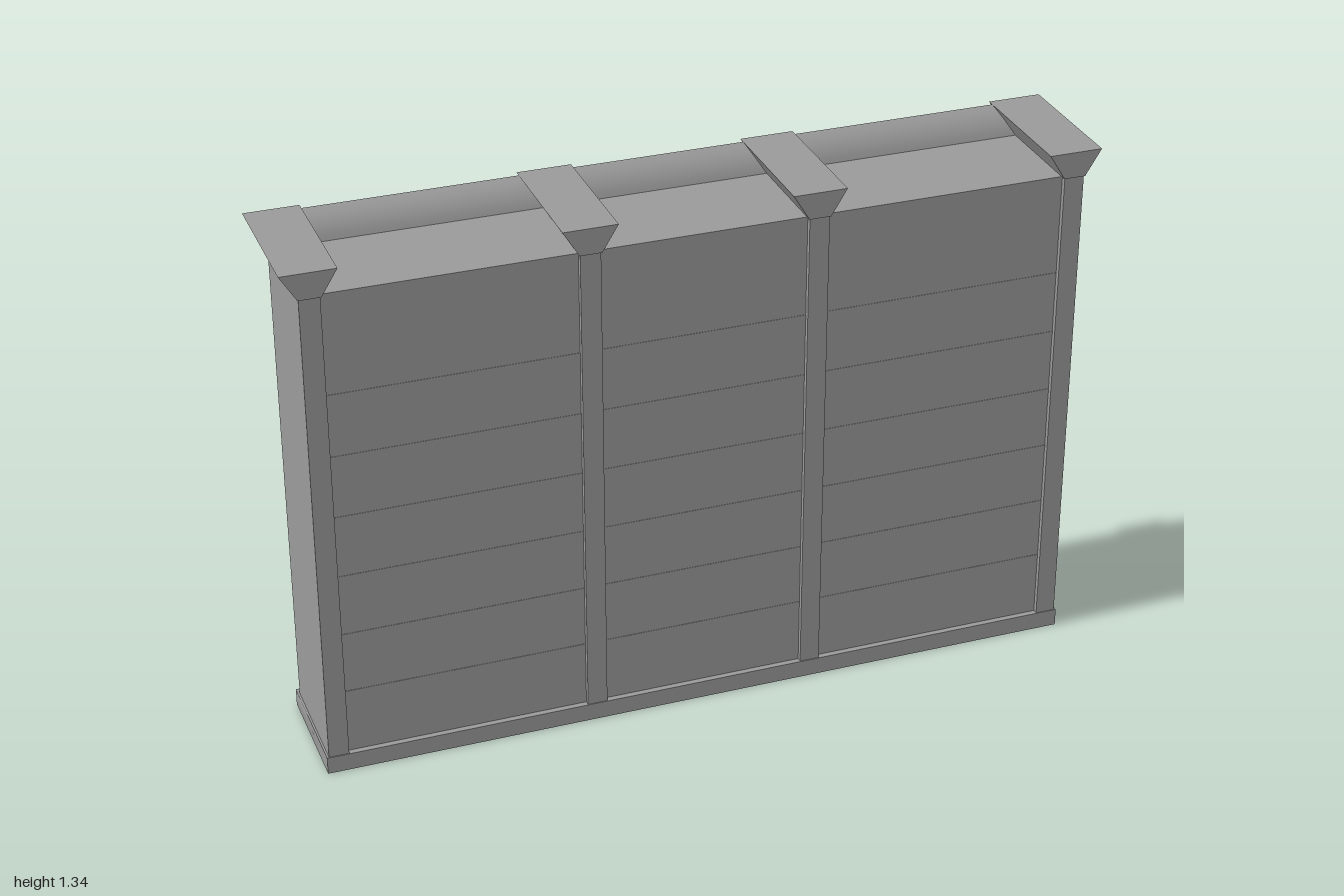
import * as THREE from 'three';

const material = new THREE.MeshStandardMaterial({ color: 0x9a9a9a, side: THREE.DoubleSide });

// Box given by its min and max on each axis
function box(name, x0, x1, y0, y1, z0, z1) {
  const mesh = new THREE.Mesh(new THREE.BoxGeometry(x1 - x0, y1 - y0, z1 - z0), material);
  mesh.name = name;
  mesh.position.set((x0 + x1) / 2, (y0 + y1) / 2, (z0 + z1) / 2);
  return mesh;
}

// Plinth: its top, ends and open side are shaded softly into each other along the -z edge
function plinth() {
  const mesh = box('base', -0.963, 0.963, 0, 0.045, -0.14, 0.172);
  const { position: p, normal: n } = mesh.geometry.attributes;
  const v = new THREE.Vector3();
  for (let i = 0; i < p.count; i++) {
    if (p.getZ(i) > 0 || n.getY(i) < -0.5) continue;
    v.set(Math.sign(p.getX(i)), p.getY(i) > 0 ? 1 : 0, -1).normalize();
    n.setXYZ(i, v.x, v.y, v.z);
  }
  return mesh;
}

// Capital: a block whose lower end tapers in to the post, flush on the +z face
function capital(x) {
  const bottom = { half: 0.027, back: -0.126 }, top = { half: 0.067, back: -0.173 };
  const geometry = new THREE.BoxGeometry(2, 1, 1);
  const p = geometry.attributes.position;
  for (let i = 0; i < p.count; i++) {
    const end = p.getY(i) > 0 ? top : bottom;
    p.setXYZ(i, p.getX(i) * end.half, p.getY(i) > 0 ? 1.335 : 1.27, p.getZ(i) > 0 ? 0.173 : end.back);
  }
  geometry.computeVertexNormals();
  const mesh = new THREE.Mesh(geometry, material);
  mesh.name = 'capital';
  mesh.position.x = x;
  return mesh;
}

// Thin cove moulding: a shallow arc that flares up and outward between two posts
function cove(x0, x1) {
  const steps = 6, a0 = 0.28, a1 = 1.13, positions = [], index = [];
  for (let i = 0; i <= steps; i++) {
    const a = a0 + (i / steps) * (a1 - a0);
    const y = 1.27 + 0.065 * (Math.sin(a) - Math.sin(a0)) / (Math.sin(a1) - Math.sin(a0));
    const z = -0.1 - 0.055 * (Math.cos(a0) - Math.cos(a)) / (Math.cos(a0) - Math.cos(a1));
    positions.push(x0, y, z, x1, y, z);
    if (i < steps) {
      const k = i * 2;
      index.push(k, k + 1, k + 2, k + 1, k + 3, k + 2);
    }
  }
  const geometry = new THREE.BufferGeometry();
  geometry.setAttribute('position', new THREE.Float32BufferAttribute(positions, 3));
  geometry.setIndex(index);
  geometry.computeVertexNormals();
  const mesh = new THREE.Mesh(geometry, material);
  mesh.name = 'coveMoulding';
  return mesh;
}

export function createModel() {
  const group = new THREE.Group();
  group.name = 'bookcase';
  group.add(plinth());

  // Upright partitions with their capitals
  const posts = [-0.933, -0.28, 0.28, 0.933];
  for (const x of posts) {
    group.add(box('post', x - 0.025, x + 0.025, 0.045, 1.27, -0.12, 0.17));
    group.add(capital(x));
  }

  // Three bays: closed panel, top, cove and shelves
  for (let b = 0; b < 3; b++) {
    const bay = new THREE.Group();
    bay.name = 'bay';
    const x0 = posts[b] + 0.025, x1 = posts[b + 1] - 0.025;
    bay.add(box('backPanel', x0, x1, 0.045, 1.19, 0.148, 0.157));
    bay.add(box('topRail', x0, x1, 1.19, 1.27, -0.1, 0.157));
    // The cove runs on into the flaring capitals
    bay.add(cove(x0, x1));
    // Shelf ends show as fine lines through the panel
    for (let i = 0; i < 6; i++) {
      const y = 0.215 + i * 0.16;
      bay.add(box('shelf', x0, x1, y - 0.012, y, -0.1, 0.158));
    }
    group.add(bay);
  }
  return group;
}
